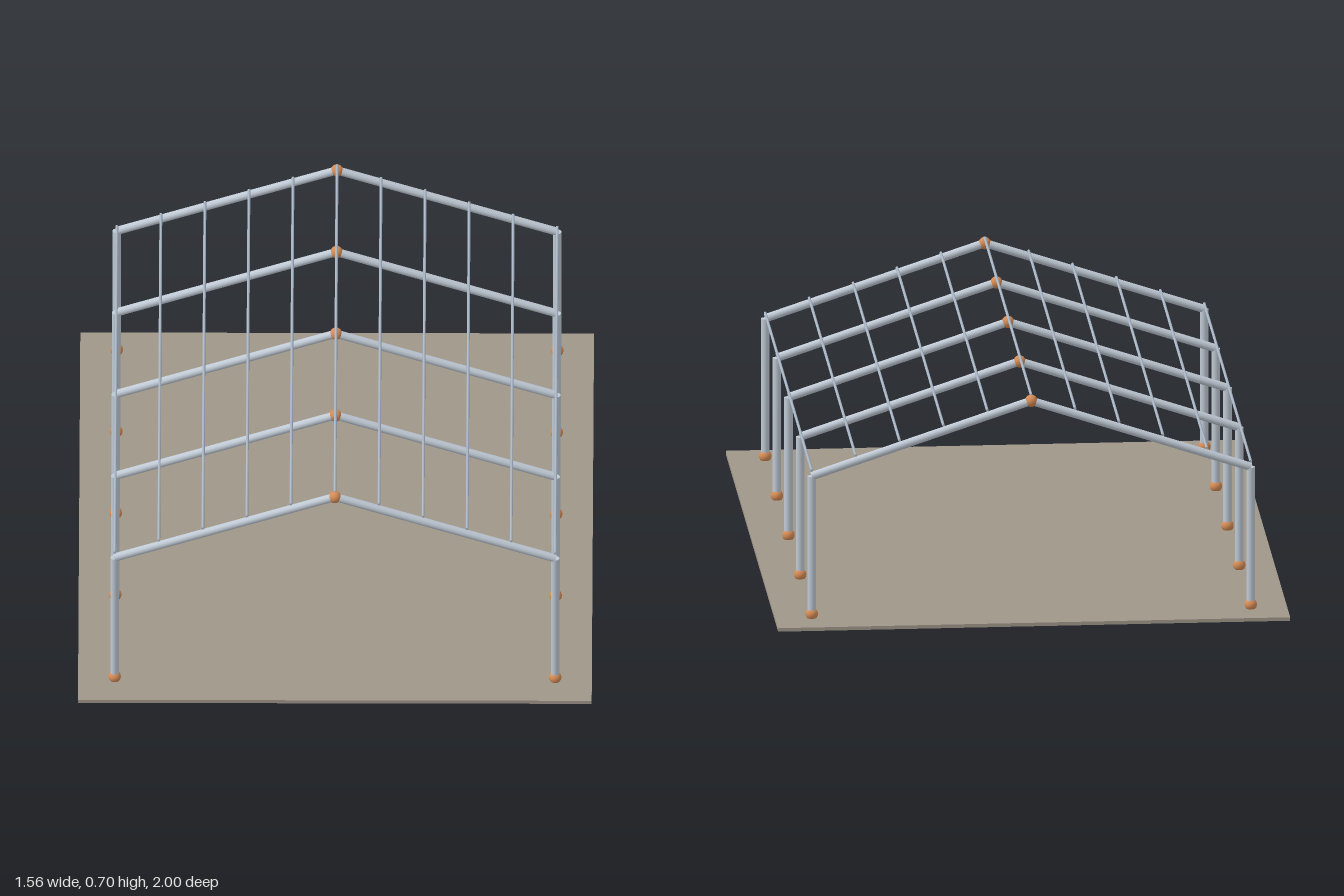
import * as THREE from 'three';

const mat = (name, color) => {
  const m = new THREE.MeshStandardMaterial({ color });
  m.name = name;
  return m;
};

export function createModel() {
  const model = new THREE.Group();
  const steel = mat('galvanised steel', 0xc0cad5);
  const purlinSteel = mat('purlin steel', 0xa9b6c6);
  const copper = mat('copper joint', 0xd58c55);
  const ground = mat('floor slab', 0xa0968a);

  const halfSpan = 0.667, eaveY = 0.456, ridgeY = 0.678, halfLength = 0.889;
  const floorY = 0.011, frames = 5, bays = 5;

  const add = (parent, name, geometry, material) => {
    const mesh = new THREE.Mesh(geometry, material);
    mesh.name = name;
    parent.add(mesh);
    return mesh;
  };
  // Round bar between two points
  const bar = (parent, name, a, b, radius, material, sides = 16) => {
    const dir = b.clone().sub(a);
    const mesh = add(parent, name, new THREE.CylinderGeometry(radius, radius, dir.length(), sides), material);
    mesh.position.copy(a).add(b).multiplyScalar(0.5);
    mesh.quaternion.setFromUnitVectors(new THREE.Vector3(0, 1, 0), dir.normalize());
  };
  const joint = (parent, name, x, y) => {
    add(parent, name, new THREE.SphereGeometry(0.0189, 24, 16), copper).position.set(x, y, 0);
  };
  const v = (x, y, z) => new THREE.Vector3(x, y, z);

  // Floor slab
  add(model, 'floorSlab', new THREE.BoxGeometry(1.556, floorY, 2), ground).position.y = floorY / 2;

  // Portal frames: columns, sloping rafters, base and ridge joints
  for (let i = 0; i < frames; i++) {
    const frame = new THREE.Group();
    frame.name = 'portalFrame';
    frame.position.z = halfLength * (1 - (2 * i) / (frames - 1));
    for (const s of [-1, 1]) {
      bar(frame, 'column', v(s * halfSpan, floorY, 0), v(s * halfSpan, eaveY, 0), 0.0131, steel);
      bar(frame, 'rafter', v(s * halfSpan, eaveY, 0), v(0, ridgeY, 0), 0.0128, steel);
      joint(frame, 'baseJoint', s * halfSpan, 0.023);
    }
    joint(frame, 'ridgeJoint', 0, ridgeY);
    model.add(frame);
  }

  // Purlins resting on the rafters from eave to eave
  for (let i = -bays; i <= bays; i++) {
    const t = i / bays;
    const y = ridgeY + 0.017 - Math.abs(t) * (ridgeY - eaveY);
    bar(model, i === 0 ? 'ridgePurlin' : 'purlin',
      v(t * halfSpan, y, -halfLength), v(t * halfSpan, y, halfLength), 0.0044, purlinSteel, 8);
  }
  return model;
}
